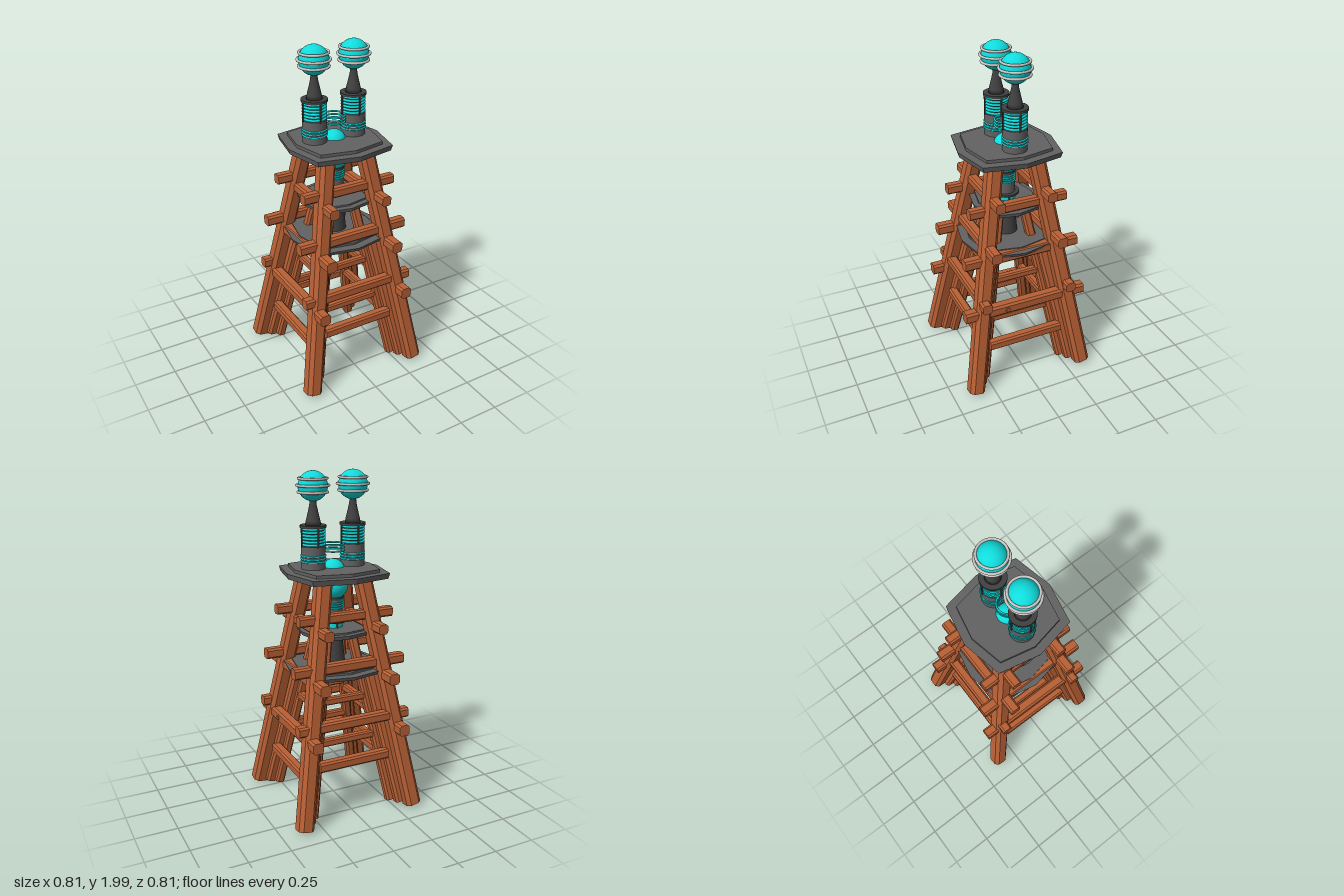
import * as THREE from 'three';

const mat = (name, color) => {
  const m = new THREE.MeshStandardMaterial({ color });
  m.name = name;
  return m;
};

export function createModel() {
  const wood = mat('wood', 0xb86035);
  const slate = mat('plate grey', 0x626262);
  const iron = mat('dark iron', 0x414141);
  const cyan = mat('cyan glow', 0x10dcdc);
  const silver = mat('silver', 0xc9c6c3);
  const flat = new Map();
  const model = new THREE.Group();
  model.name = 'tower';

  function add(name, geometry, material, parent = model, x = 0, y = 0, z = 0) {
    const mesh = new THREE.Mesh(geometry, material);
    mesh.name = name;
    mesh.position.set(x, y, z);
    parent.add(mesh);
    return mesh;
  }

  // Timber with chamfered edges running between two points
  function beam(name, a, b, w, c = w * 0.18, parent = model) {
    const h = w / 2, k = h - c;
    const s = new THREE.Shape([[h, -k], [h, k], [k, h], [-k, h], [-h, k], [-h, -k], [-k, -h], [k, -h]]
      .map(p => new THREE.Vector2(...p)));
    const from = new THREE.Vector3(...a), dir = new THREE.Vector3(...b).sub(from);
    const g = new THREE.ExtrudeGeometry(s, { depth: dir.length(), bevelEnabled: false });
    g.rotateX(-Math.PI / 2);
    const m = add(name, g, wood, parent);
    m.quaternion.setFromUnitVectors(new THREE.Vector3(0, 1, 0), dir.normalize());
    m.position.copy(from);
    return m;
  }

  // Legs: one tall outer post and two shorter inner posts per corner
  const outer = y => 0.362 - 0.17 * y;
  const inner = y => 0.265 - 0.175 * y;
  for (const sx of [-1, 1]) for (const sz of [-1, 1]) {
    const leg = (name, r0, y0, r1, y1, w) =>
      beam(name, [sx * r0, y0, sz * r0], [sx * r1, y1, sz * r1], w, w * 0.22);
    leg('outerLeg', outer(0.018), 0.018, outer(1.405), 1.405, 0.095);
    leg('middleLeg', 0.305, 0.02, 0.15, 0.86, 0.065);
    leg('innerLeg', inner(0.02), 0.02, inner(1.08), 1.08, 0.055);
  }

  // Crossbars: [height, half length, distance from centre, thickness]
  const barsX = [[1.195, 0.295, outer(1.195), 0.058], [0.915, 0.35, outer(0.915), 0.062],
    [0.59, 0.355, outer(0.59) + 0.008, 0.06], [0.345, 0.225, 0.272, 0.058],
    [0.69, 0.15, inner(0.69), 0.045], [0.45, 0.175, inner(0.45), 0.045]];
  const barsZ = [[1.13, 0.303, outer(1.13), 0.058], [0.84, 0.358, outer(0.84), 0.065],
    [0.52, 0.385, outer(0.52) + 0.005, 0.066], [0.27, 0.235, 0.284, 0.058],
    [0.64, 0.155, inner(0.64), 0.045], [0.4, 0.18, inner(0.4), 0.045]];
  for (const s of [-1, 1]) {
    for (const [y, l, d, w] of barsX) beam('crossbarAcross', [-l, y, s * d], [l, y, s * d], w);
    for (const [y, l, d, w] of barsZ) beam('crossbarDeep', [s * d, y, -l], [s * d, y, l], w);
  }
  beam('peg', [0.28, 0.52, 0.125], [0.32, 0.52, 0.125], 0.024);

  // Eight-sided slabs whose corners bulge towards a square
  function slab(name, r, y0, y1, material, taper = 1) {
    const g = new THREE.CylinderGeometry(1, 1, 1, 8).toNonIndexed();
    const p = g.attributes.position;
    for (let i = 0; i < p.count; i++) {
      const x = p.getX(i), z = p.getZ(i), up = p.getY(i) > 0;
      const diagonal = Math.abs(x * z) > 0.3;
      const k = r * (diagonal ? 1.17 : 1) * (up ? 1 : taper);
      p.setXYZ(i, x * k, up ? y1 : y0, z * k);
    }
    g.computeVertexNormals();
    add(name, g, material);
  }
  slab('topPlatform', 0.29, 1.405, 1.437, slate, 0.97);
  slab('topPlatformCap', 0.24, 1.437, 1.455, slate);
  slab('topPlatformUnderside', 0.23, 1.393, 1.405, iron);
  slab('middlePlatform', 0.205, 1.066, 1.088, slate, 0.97);
  slab('middlePlatformCap', 0.17, 1.088, 1.098, slate);
  slab('lowerPlatform', 0.285, 0.845, 0.866, slate, 0.97);
  slab('lowerPlatformCap', 0.235, 0.866, 0.878, slate);

  // Round helpers
  const drum = (name, r0, r1, y0, y1, m, parent = model) =>
    add(name, new THREE.CylinderGeometry(r1, r0, y1 - y0, 32), m, parent, 0, (y0 + y1) / 2, 0);
  const ring = (name, r, t, y, m, parent = model) =>
    add(name, new THREE.TorusGeometry(r, t, 8, 40).rotateX(Math.PI / 2), m, parent, 0, y, 0);
  const ball = (name, r, y, parent = model) =>
    add(name, new THREE.SphereGeometry(r, 32, 20), cyan, parent, 0, y, 0);
  function rods(r, y0, y1, parent) {
    for (let i = 0; i < 4; i++) {
      const a = i * Math.PI / 2;
      add('rod', new THREE.BoxGeometry(0.01, y1 - y0, 0.01), iron, parent,
        r * Math.sin(a), (y0 + y1) / 2, r * Math.cos(a));
    }
  }

  // Central column and its glowing core
  const column = new THREE.Group();
  column.name = 'centralColumn';
  model.add(column);
  drum('columnBase', 0.072, 0.055, 0.875, 1.03, iron, column);
  drum('columnTube', 0.056, 0.056, 1.03, 1.13, cyan, column);
  rods(0.056, 1.03, 1.13, column);
  drum('columnCollar', 0.08, 0.08, 1.13, 1.142, iron, column);
  drum('columnBody', 0.056, 0.056, 1.142, 1.275, slate, column);
  for (let i = 0; i < 4; i++) ring('columnCoil', 0.056, 0.005, 1.215 + i * 0.014, cyan, column);
  drum('columnRim', 0.06, 0.06, 1.268, 1.28, iron, column);
  ball('coreBall', 0.088, 1.35, column);
  ball('coreTop', 0.068, 1.432, column);
  for (let i = 0; i < 3; i++) ring('floatingRing', 0.061, 0.0055, 1.55 + i * 0.018, cyan, column);

  // Twin emitters on the top platform
  const spire = [[0, 1.70], [0.046, 1.70], [0.041, 1.725], [0.03, 1.77], [0.021, 1.81], [0.018, 1.85]]
    .map(p => new THREE.Vector2(...p));
  for (const s of [-1, 1]) {
    const e = new THREE.Group();
    e.name = s > 0 ? 'leftEmitter' : 'rightEmitter';
    e.position.x = s * 0.125;
    model.add(e);
    drum('emitterBody', 0.07, 0.07, 1.45, 1.585, slate, e);
    for (const y of [1.497, 1.513, 1.53]) ring('bodyBand', 0.069, 0.0055, y, cyan, e);
    drum('emitterCore', 0.058, 0.058, 1.585, 1.69, iron, e);
    for (let i = 0; i < 6; i++) ring('emitterCoil', 0.063, 0.0075, 1.594 + i * 0.0175, cyan, e);
    rods(0.069, 1.58, 1.69, e);
    drum('emitterLid', 0.075, 0.075, 1.688, 1.702, iron, e);
    add('spire', new THREE.LatheGeometry(spire, 32), iron, e);
    ball('emitterBall', 0.084, 1.916, e);
    for (const [y, r] of [[1.957, 0.08], [1.92, 0.09], [1.883, 0.083]]) ring('ballRing', r, 0.0075, y, silver, e);
  }
  return model;
}
